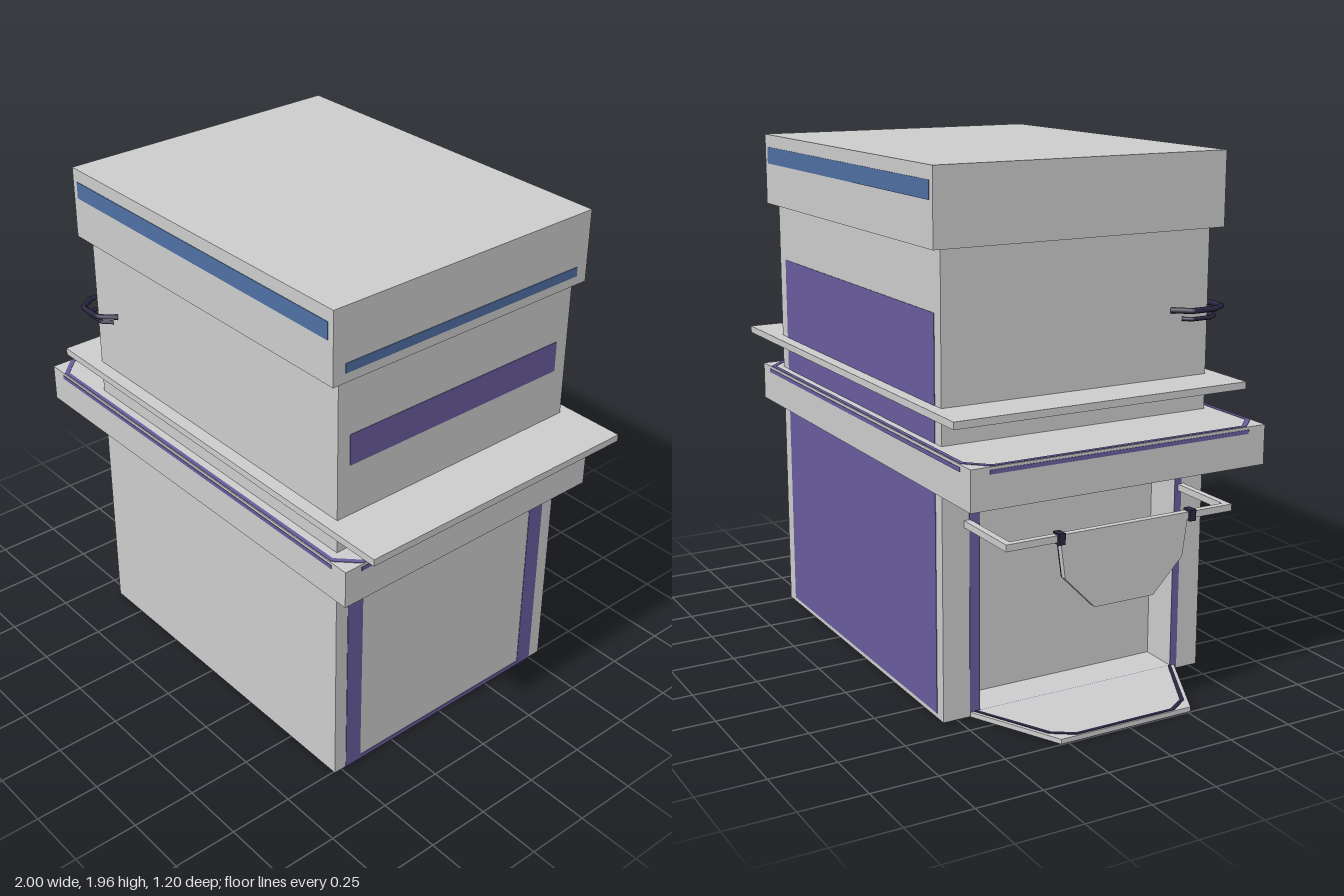
import * as THREE from 'three';

export function createModel() {
  const model = new THREE.Group();
  model.name = 'servingCabinet';
  const mat = (name, color) => {
    const m = new THREE.MeshStandardMaterial({ color });
    m.name = name;
    return m;
  };
  const grey = mat('panelGrey', 0xcccccc);
  const purple = mat('liningPurple', 0x6a5c9e);
  const blue = mat('stripeBlue', 0x4f6fa3);
  const dark = mat('handleDark', 0x292640);

  const add = (name, geo, material, parent = model) => {
    const m = new THREE.Mesh(geo, material);
    m.name = name;
    parent.add(m);
    return m;
  };
  // Box given by its lower and upper limits
  const box = (name, material, x0, x1, y0, y1, z0, z1, parent) => {
    const m = add(name, new THREE.BoxGeometry(x1 - x0, y1 - y0, z1 - z0), material, parent);
    m.position.set((x0 + x1) / 2, (y0 + y1) / 2, (z0 + z1) / 2);
    return m;
  };
  const points = (pts) => pts.map(([x, y]) => new THREE.Vector2(x, y));
  const polygon = (pts) => new THREE.Shape(points(pts));
  const extrude = (shape, depth) =>
    new THREE.ExtrudeGeometry(shape, { depth, bevelEnabled: false, curveSegments: 5 });
  // Shape drawn in (z, y), extruded towards -x from the plane x = top
  const extrudeX = (name, shape, material, top, depth) => {
    add(name, extrude(shape, depth).rotateY(-Math.PI / 2), material).position.x = top;
  };
  // Shape drawn in (x, z), extruded downwards from the plane y = top
  const extrudeY = (name, shape, material, top, depth) => {
    add(name, extrude(shape, depth).rotateX(Math.PI / 2), material).position.y = top;
  };
  const rect = (a0, a1, b0, b1) => polygon([[a0, b0], [a1, b0], [a1, b1], [a0, b1]]);
  // Doorway outline with rounded upper corners
  const doorway = (z0, z1, y0, y1, r, Type = THREE.Shape) => {
    const s = new Type();
    s.moveTo(z0, y0);
    s.lineTo(z1, y0);
    s.lineTo(z1, y1 - r);
    s.quadraticCurveTo(z1, y1, z1 - r, y1);
    s.lineTo(z0 + r, y1);
    s.quadraticCurveTo(z0, y1, z0, y1 - r);
    s.closePath();
    return s;
  };
  // Rectangle with cut corners
  const chamfered = (x0, x1, z0, z1, c) => [
    [x0 + c, z0], [x1 - c, z0], [x1, z0 + c], [x1, z1 - c],
    [x1 - c, z1], [x0 + c, z1], [x0, z1 - c], [x0, z0 + c]];
  const T = 0.002; // thickness of painted plates

  // Body: solid core plus a recessed doorway on the tray side
  box('body', grey, -0.51, 0.758, T, 1.682, -0.555, 0.533);
  const wall = rect(-0.555, 0.533, T, 1.682);
  wall.holes.push(doorway(-0.41, 0.41, 0.02, 0.82, 0.06, THREE.Path));
  extrudeX('doorwayWall', wall, grey, -0.51, 0.147);

  // Lining panels showing on the sides, back and base
  const trim = doorway(-0.45, 0.44, T, 0.86, 0.06);
  trim.holes.push(doorway(-0.41, 0.41, 0.02, 0.82, 0.06, THREE.Path));
  extrudeX('doorwayTrim', trim, purple, -0.657, T);
  const frame = rect(-0.5, 0.48, T, 0.865);
  frame.holes.push(doorway(-0.43, 0.41, 0.02, 0.82, 0.06, THREE.Path));
  extrudeX('sidePanelFrame', frame, purple, 0.758 + T, T);
  box('sideBandLower', purple, 0.758, 0.758 + T, 1.0, 1.075, -0.5, 0.48);
  box('sideBandUpper', purple, 0.758, 0.758 + T, 1.34, 1.46, -0.5, 0.48);
  box('backLining', purple, -0.61, 0.7, 0.02, 1.46, -0.555 - T, -0.555);
  box('baseLining', purple, -0.6, 0.7, 0, T, -0.05, 0.48);

  // Lid with coloured stripes
  box('lid', grey, -0.685, 0.783, 1.682, 1.957, -0.595, 0.577);
  box('frontStripe', blue, -0.66, 0.757, 1.843, 1.908, 0.577, 0.577 + T);
  box('backStripe', blue, -0.66, 0.757, 1.843, 1.908, -0.595 - T, -0.595);
  box('sideStripe', blue, 0.783, 0.783 + T, 1.717, 1.753, -0.545, 0.525);

  // Two overhanging counters, the lower one with an inlaid line and a lined underside
  box('upperCounter', grey, -0.835, 1.0, 1.115, 1.142, -0.602, 0.584);
  box('lowerCounter', grey, -0.95, 0.862, 0.863, 1.01, -0.602, 0.584);
  box('counterUnderside', purple, -0.93, -0.67, 0.863 - T, 0.863, -0.58, 0.56);
  const inlay = (name, out, top, depth) => {
    const ring = polygon(chamfered(-0.95 - out, 0.862 + out, -0.602 - out, 0.584 + out, 0.075));
    ring.holes.push(new THREE.Path(points(
      chamfered(-0.935 - out, 0.847 + out, -0.587 - out, 0.569 + out, 0.07))));
    extrudeY(name, ring, purple, top, depth);
  };
  inlay('counterSideLine', T, 1.0, 0.015);
  inlay('counterTopLine', -0.004, 1.01 + T, T);

  // Floor tray reaching out of the doorway, with an edge line
  extrudeY('tray', polygon([
    [-0.657, -0.45], [-1, -0.28], [-1, 0.26], [-0.657, 0.43]]), grey, 0.02, 0.018);
  const lineSide = (i) => [
    [-0.66, -0.435 + i], [-0.94 + i / 2, -0.295 + i], [-0.994 + i, -0.215 + i / 2],
    [-0.994 + i, 0.195 - i / 2], [-0.94 + i / 2, 0.275 - i], [-0.66, 0.415 - i]];
  extrudeY('trayEdgeLine', polygon([...lineSide(0), ...lineSide(0.014).reverse()]), dark, 0.02 + T, T);

  // Side rail on two arms
  const rail = new THREE.Group();
  rail.name = 'sideRail';
  model.add(rail);
  box('railBar', grey, -0.95, -0.925, 0.71, 0.735, -0.47, 0.45, rail);
  box('railArm', grey, -0.925, -0.657, 0.71, 0.735, -0.47, -0.445, rail);
  box('railArm', grey, -0.925, -0.657, 0.71, 0.735, 0.425, 0.45, rail);

  // Hanging flap with a dark lining and clips over the rail
  const flap = polygon([
    [-0.26, 0.715], [-0.24, 0.575], [-0.12, 0.453],
    [0.12, 0.453], [0.24, 0.575], [0.26, 0.715]]);
  extrudeX('hangingFlap', flap, grey, -0.928, 0.021);
  extrudeX('flapLining', flap, dark, -0.92, 0.008);
  for (const z of [-0.26, 0.275]) {
    box('flapClip', dark, -0.96, -0.92, 0.702, 0.743, z - 0.013, z + 0.013);
  }

  // Handle wrapped around the front corner: two bent rods
  const rods = [
    [1.393, 0.011, [[-0.66, 0.37], [-0.71, 0.43], [-0.71, 0.53], [-0.67, 0.59], [-0.57, 0.59], [-0.515, 0.533]]],
    [1.357, 0.008, [[-0.66, 0.42], [-0.685, 0.45], [-0.685, 0.53], [-0.66, 0.565], [-0.58, 0.565], [-0.55, 0.533]]]];
  for (const [y, r, pts] of rods) {
    const path = new THREE.CurvePath();
    const v = pts.map(([x, z]) => new THREE.Vector3(x, y, z));
    for (let i = 1; i < v.length; i++) path.add(new THREE.LineCurve3(v[i - 1], v[i]));
    add('cornerHandle', new THREE.TubeGeometry(path, 40, r, 6), dark);
  }
  return model;
}
